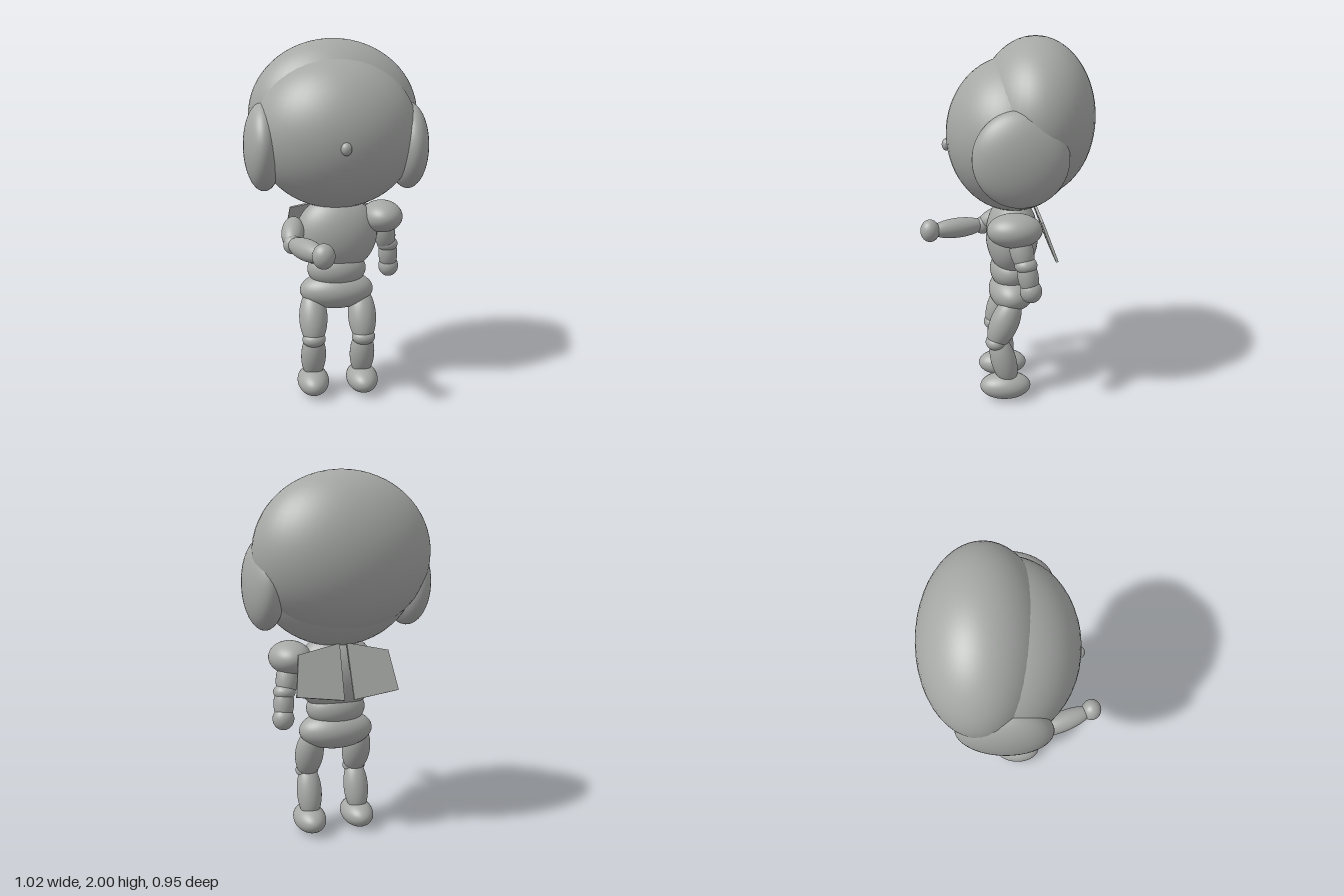
import * as THREE from 'three';

export function createModel() {
  const model = new THREE.Group();
  const clay = new THREE.MeshStandardMaterial({ color: 0xa6a8a6 });
  clay.name = 'grey clay';
  const ball = new THREE.SphereGeometry(1, 48, 32);

  // Ellipsoid from centre and radii
  function ellipsoid(name, centre, radii) {
    const mesh = new THREE.Mesh(ball, clay);
    mesh.name = name;
    mesh.position.set(...centre);
    mesh.scale.set(...radii);
    model.add(mesh);
    return mesh;
  }

  // Ellipsoid stretched between two end points
  function limb(name, from, to, radius) {
    const a = new THREE.Vector3(...from), b = new THREE.Vector3(...to);
    const mid = a.clone().add(b).multiplyScalar(0.5);
    const mesh = ellipsoid(name, mid.toArray(), [radius, a.distanceTo(b) / 2, radius]);
    mesh.quaternion.setFromUnitVectors(new THREE.Vector3(0, 1, 0), b.sub(a).normalize());
  }

  // Head
  ellipsoid('face', [0, 1.49, -0.046], [0.45, 0.41, 0.36]);
  ellipsoid('hair', [0, 1.58, -0.16], [0.475, 0.42, 0.316]);
  ellipsoid('nose', [0, 1.437, 0.312], [0.028, 0.033, 0.025]);

  // Torso
  ellipsoid('chest', [0, 0.93, -0.04], [0.23, 0.22, 0.145]);
  ellipsoid('waist', [0, 0.73, -0.037], [0.167, 0.11, 0.12]);
  ellipsoid('pelvis', [0, 0.605, -0.04], [0.21, 0.108, 0.13]);

  for (const s of [1, -1]) {
    const side = s > 0 ? 'left' : 'right';
    ellipsoid(side + 'Ear', [0.4 * s, 1.42, -0.053], [0.108, 0.24, 0.238]);

    // Legs
    limb(side + 'Thigh', [0.138 * s, 0.61, -0.05], [0.142 * s, 0.31, 0.07], 0.08);
    ellipsoid(side + 'Knee', [0.142 * s, 0.345, 0.058], [0.066, 0.045, 0.058]);
    limb(side + 'Shin', [0.14 * s, 0.38, 0.055], [0.142 * s, 0.08, -0.025], 0.071);
    ellipsoid(side + 'Foot', [0.143 * s, 0.075, 0.005], [0.09, 0.075, 0.143]);

    // Back plates, leaning away from the body
    const outline = [[0.02, 0.15], [0.25, 0.1], [0.282, -0.12], [0.027, -0.155]];
    const shape = new THREE.Shape(outline.map(([x, y]) => new THREE.Vector2(x * s, y)));
    const plate = new THREE.Mesh(
      new THREE.ExtrudeGeometry(shape, { depth: 0.014, bevelEnabled: false }), clay);
    plate.name = side + 'BackPlate';
    plate.position.set(0, 0.97, -0.222);
    plate.rotation.x = 0.36;
    model.add(plate);
  }

  // Left arm hanging down
  ellipsoid('leftShoulder', [0.258, 1.025, -0.035], [0.115, 0.09, 0.145]);
  limb('leftUpperArm', [0.26, 1.03, -0.045], [0.303, 0.81, -0.095], 0.062);
  ellipsoid('leftElbow', [0.304, 0.85, -0.09], [0.06, 0.045, 0.06]);
  limb('leftForearm', [0.304, 0.89, -0.085], [0.318, 0.69, -0.118], 0.055);
  ellipsoid('leftHand', [0.318, 0.71, -0.117], [0.058, 0.062, 0.058]);

  // Right arm reaching forward
  limb('rightUpperArm', [-0.235, 1.01, -0.08], [-0.268, 0.91, 0.14], 0.062);
  ellipsoid('rightElbow', [-0.26, 0.912, 0.115], [0.05, 0.052, 0.05]);
  limb('rightForearm', [-0.268, 0.915, 0.1], [-0.13, 0.917, 0.42], 0.058);
  ellipsoid('rightHand', [-0.13, 0.92, 0.42], [0.058, 0.065, 0.055]);

  return model;
}
